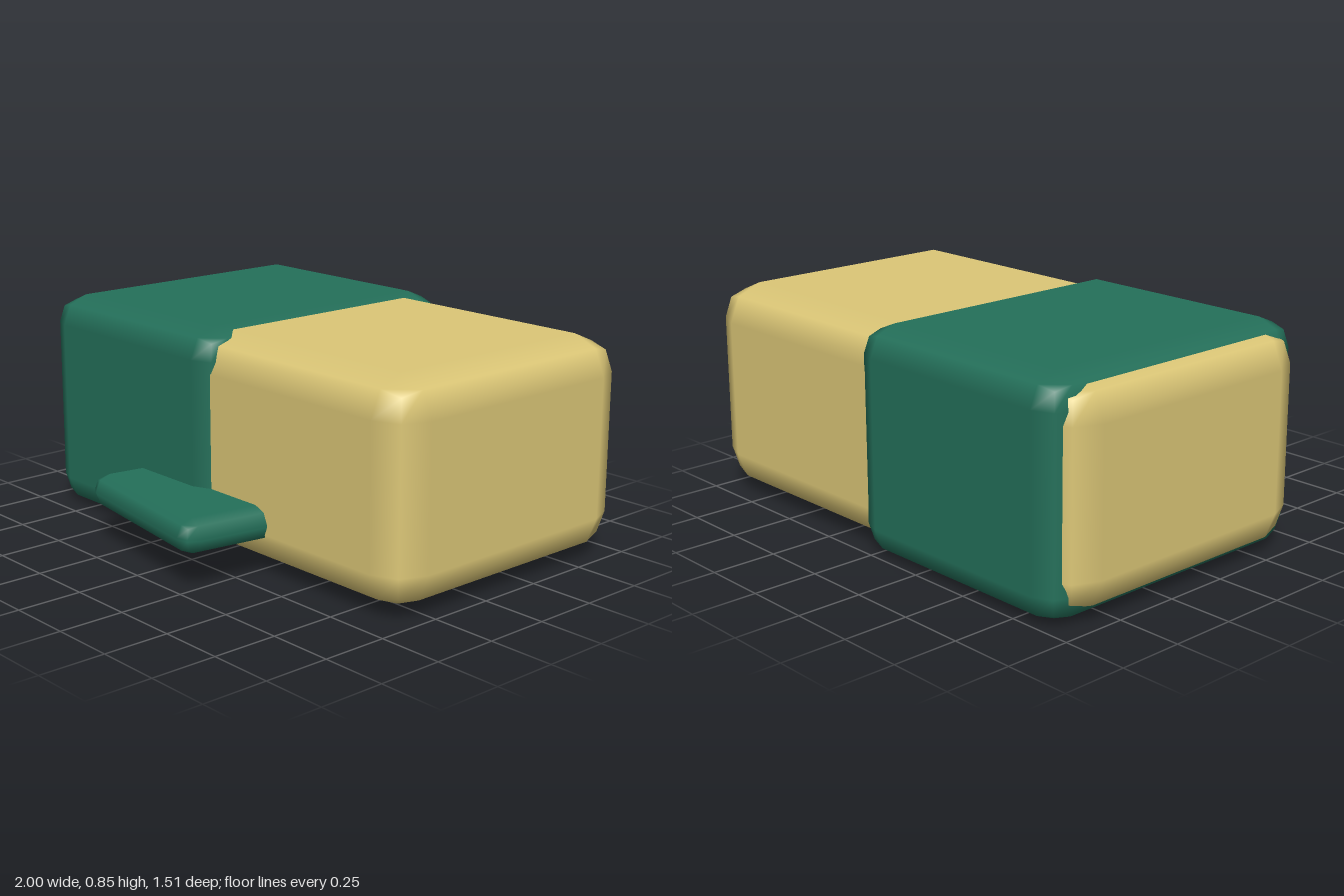
import * as THREE from 'three';
import { RoundedBoxGeometry } from 'three/addons/geometries/RoundedBoxGeometry.js';

export function createModel() {
  const model = new THREE.Group();
  const tan = new THREE.MeshStandardMaterial({ color: 0xdcc777 });
  const green = new THREE.MeshStandardMaterial({ color: 0x24705a });
  tan.name = 'tan';
  green.name = 'green';

  // Box with two-step rounded edges
  function roundedBox(name, material, size, radius, position) {
    const mesh = new THREE.Mesh(new RoundedBoxGeometry(...size, 1, radius), material);
    mesh.name = name;
    mesh.position.set(...position);
    model.add(mesh);
    return mesh;
  }

  // Long block
  roundedBox('block', tan, [2, 0.81, 1.16], 0.14, [0, 0.43, -0.15]);

  // Sleeve wrapped around one half of the block
  roundedBox('sleeve', green, [1.02, 0.85, 1.22], 0.11, [-0.44, 0.425, -0.15]);

  // Flat tab sticking out of the front, slightly turned
  const tab = roundedBox('tab', green, [0.74, 0.13, 0.51], 0.062, [-0.033, 0.2, 0.45]);
  tab.rotation.y = -0.15;

  return model;
}
